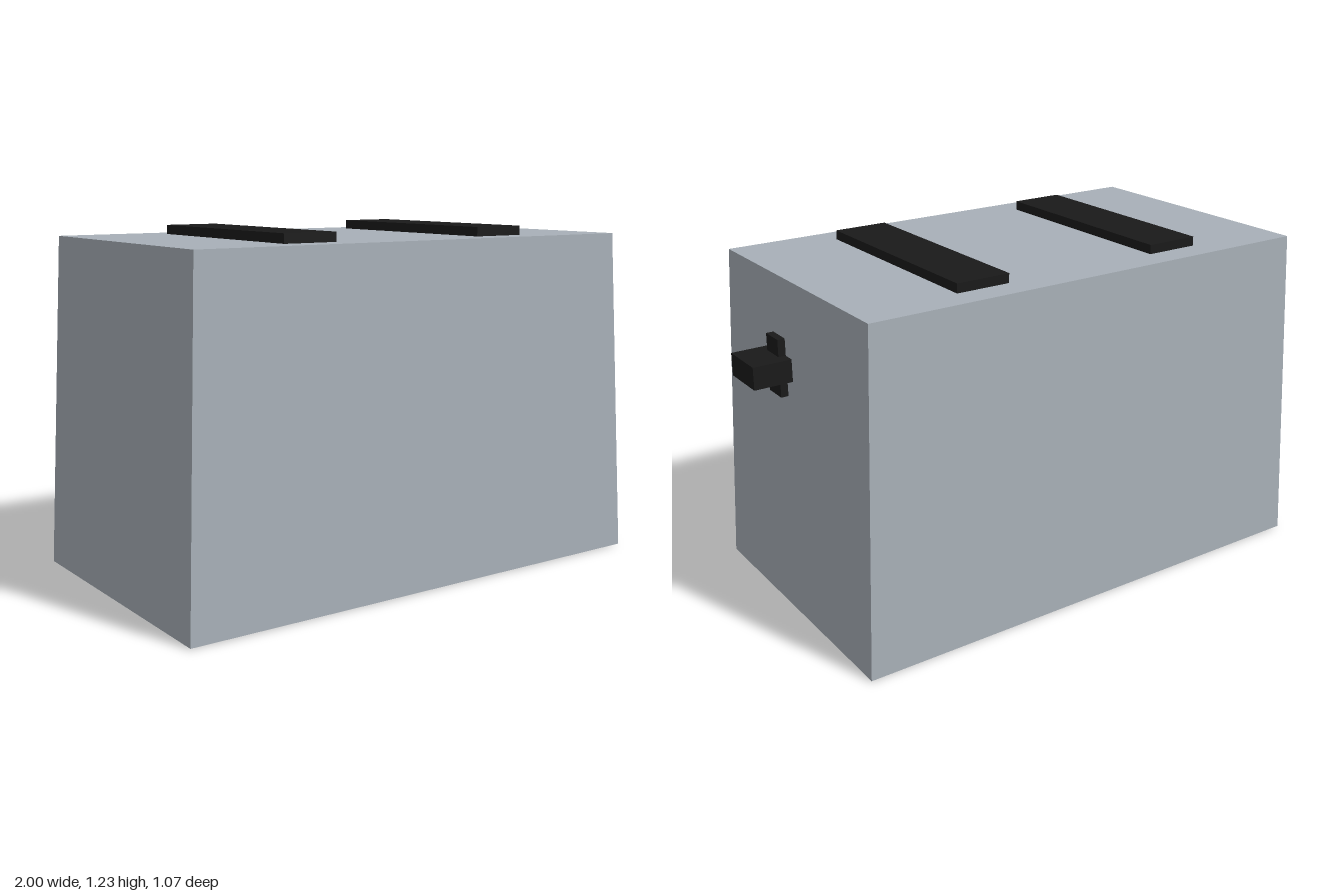
import * as THREE from 'three';

export function createModel() {
  const model = new THREE.Group();
  model.name = 'toaster';

  const makeMaterial = (name, color) => {
    const material = new THREE.MeshStandardMaterial({ color, flatShading: true });
    material.name = name;
    return material;
  };
  const casing = makeMaterial('grey casing', 0xa8b0b8);
  const trim = makeMaterial('black trim', 0x1a1a1a);
  const underside = makeMaterial('dark grey base', 0x55595f);

  const addBox = (name, material, size, position) => {
    const mesh = new THREE.Mesh(new THREE.BoxGeometry(...size), material);
    mesh.name = name;
    mesh.position.set(...position);
    model.add(mesh);
  };

  // Body: a box whose top is drawn in on all four sides
  const centreX = -0.067;
  const bodyGeometry = new THREE.BoxGeometry(1.866, 1.197, 1.066);
  const points = bodyGeometry.attributes.position;
  for (let i = 0; i < points.count; i++) {
    if (points.getY(i) > 0) {
      points.setX(i, points.getX(i) * 0.9375);
      points.setZ(i, points.getZ(i) * 0.9375);
    }
  }
  bodyGeometry.computeVertexNormals();
  const body = new THREE.Mesh(bodyGeometry, casing);
  body.name = 'body';
  body.position.set(centreX, 0.6015, 0);
  model.add(body);

  // Base plate, just below the body and set in from its edges
  addBox('basePlate', underside, [1.8, 0.006, 1.0], [centreX, 0.003, 0]);

  // Bread slots, mirrored about the middle of the body
  addBox('rightSlot', trim, [0.2, 0.066, 0.8], [centreX - 0.4, 1.2, 0]);
  addBox('leftSlot', trim, [0.2, 0.066, 0.8], [centreX + 0.4, 1.2, 0]);

  // Lever on the left end: upright plate and protruding handle
  addBox('leverPlate', trim, [0.026, 0.2, 0.084], [0.878, 0.934, 0]);
  addBox('leverHandle', trim, [0.135, 0.078, 0.167], [0.9325, 0.936, 0]);

  return model;
}
